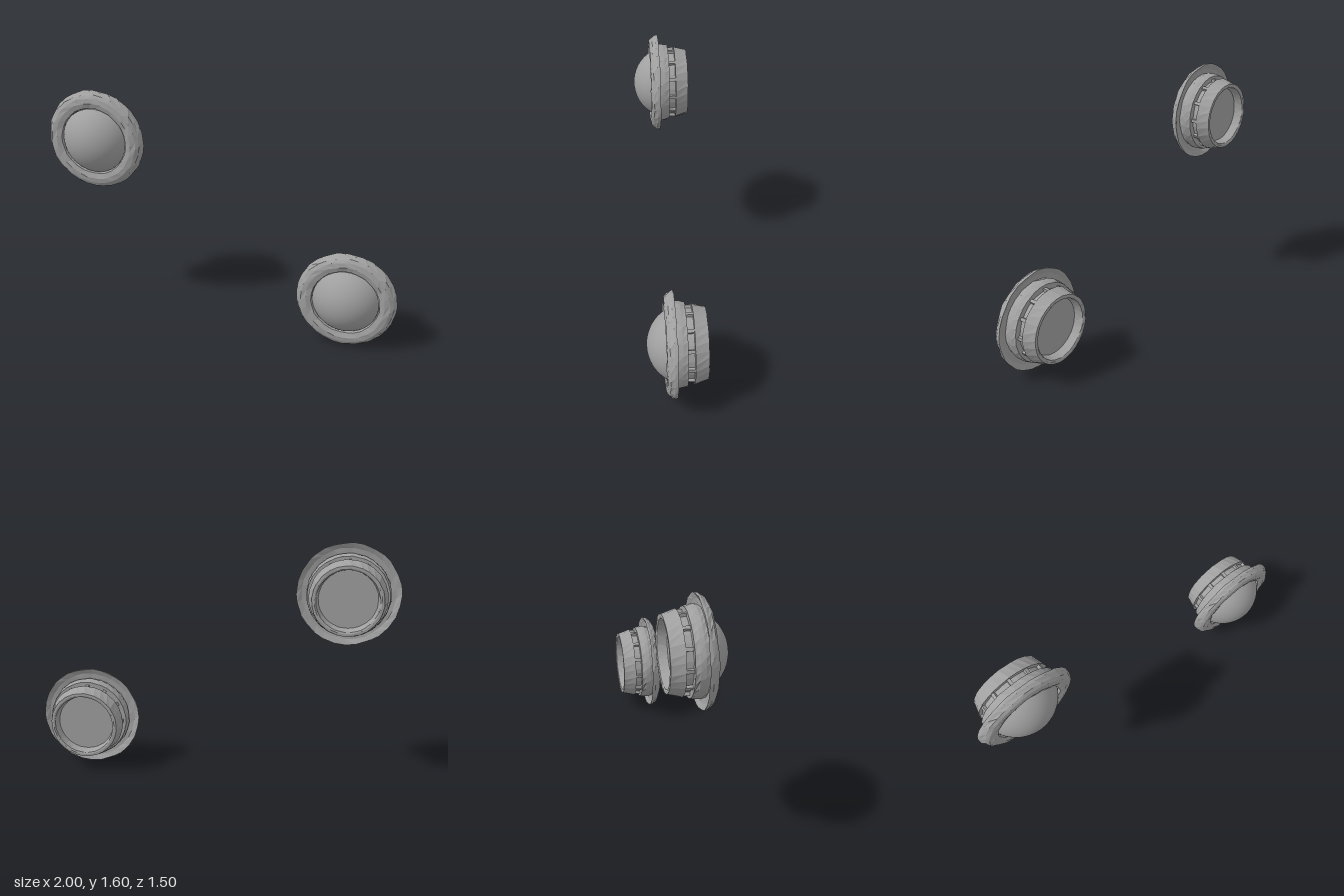
import * as THREE from 'three';

const grey = new THREE.MeshStandardMaterial({ color: 0xa0a0a0, side: THREE.DoubleSide });
grey.name = 'plain grey';

// repeatable pseudo-random value from -0.5 to 0.5
const hash = (a, b) => {
  const s = Math.sin(a * 127.1 + b * 311.7) * 43758.5453;
  return s - Math.floor(s) - 0.5;
};

// faceted ring turned about y from [radius, height] pairs; rough shifts the corners a little
function facetedRing(name, profile, sides, rough = 0) {
  const rows = profile.length;
  const geo = new THREE.LatheGeometry(profile.map(([r, y]) => new THREE.Vector2(r, y)), sides);
  const pos = geo.attributes.position;
  for (let i = 0; i < pos.count && rough; i++) {
    const row = (i % rows) % (rows - 1); // first and last rows coincide
    const side = Math.floor(i / rows) % sides;
    const r = Math.hypot(pos.getX(i), pos.getZ(i)) + hash(row, side) * rough;
    const step = (Math.PI * 2) / sides;
    const a = (side + (row % 2) * 0.4 + hash(row + 9, side) * 0.4) * step;
    pos.setXYZ(i, Math.sin(a) * r, pos.getY(i) + hash(row + 20, side) * rough, Math.cos(a) * r);
  }
  const flat = geo.toNonIndexed();
  flat.computeVertexNormals();
  const mesh = new THREE.Mesh(flat, grey);
  mesh.name = name;
  return mesh;
}

// one round lamp, its lens facing +y
function makeLamp() {
  const lamp = new THREE.Group();

  // wide hammered rim, hollow behind
  lamp.add(facetedRing('flange', [
    [0.262, 0.045], [0.3, 0.042], [0.335, 0.026], [0.332, 0.045], [0.317, 0.07],
    [0.295, 0.085], [0.262, 0.09], [0.228, 0.08], [0.222, 0.05], [0.262, 0.045],
  ], 28, 0.006));

  // smooth domed lens
  const arc = [];
  for (let i = 0; i <= 14; i++) {
    const a = 1.08 * (1 - i / 14);
    arc.push(new THREE.Vector2(0.25 * Math.sin(a), -0.05 + 0.25 * Math.cos(a)));
  }
  const lens = new THREE.Mesh(new THREE.LatheGeometry(arc, 48), grey);
  lens.name = 'lens';
  lamp.add(lens);

  // collar behind the flange
  lamp.add(facetedRing('collar', [
    [0.222, -0.04], [0.262, -0.04], [0.268, -0.01], [0.27, 0.02], [0.262, 0.05], [0.222, 0.05], [0.222, -0.04],
  ], 28, 0.003));

  // recessed neck with small studs
  lamp.add(facetedRing('neck', [[0.225, -0.09], [0.225, -0.035]], 28));
  for (let i = 0; i < 12; i++) {
    const a = (i * Math.PI) / 6;
    const stud = new THREE.Mesh(new THREE.BoxGeometry(0.022, 0.046, 0.022), grey);
    stud.name = 'stud';
    stud.position.set(Math.sin(a) * 0.232, -0.062, Math.cos(a) * 0.232);
    stud.rotation.y = a;
    lamp.add(stud);
  }

  // tapered back housing with an open recess
  lamp.add(facetedRing('housing', [
    [0.186, -0.1], [0.2, -0.165], [0.21, -0.17], [0.226, -0.169], [0.25, -0.084], [0.222, -0.082], [0.186, -0.1],
  ], 28, 0.002));
  const plate = new THREE.Mesh(new THREE.CylinderGeometry(0.192, 0.192, 0.008, 32), grey);
  plate.name = 'backPlate';
  plate.position.y = -0.104;
  lamp.add(plate);

  lamp.rotation.x = Math.PI / 2;
  return lamp;
}

export function createModel() {
  const model = new THREE.Group();
  [['upperLamp', -0.715, 1.263, 0.5], ['lowerLamp', 0.705, 0.337, -0.49]].forEach(([name, x, y, z]) => {
    const holder = new THREE.Group();
    holder.name = name;
    holder.add(makeLamp());
    holder.rotation.y = THREE.MathUtils.degToRad(35);
    holder.position.set(x, y, z);
    model.add(holder);
  });
  return model;
}
